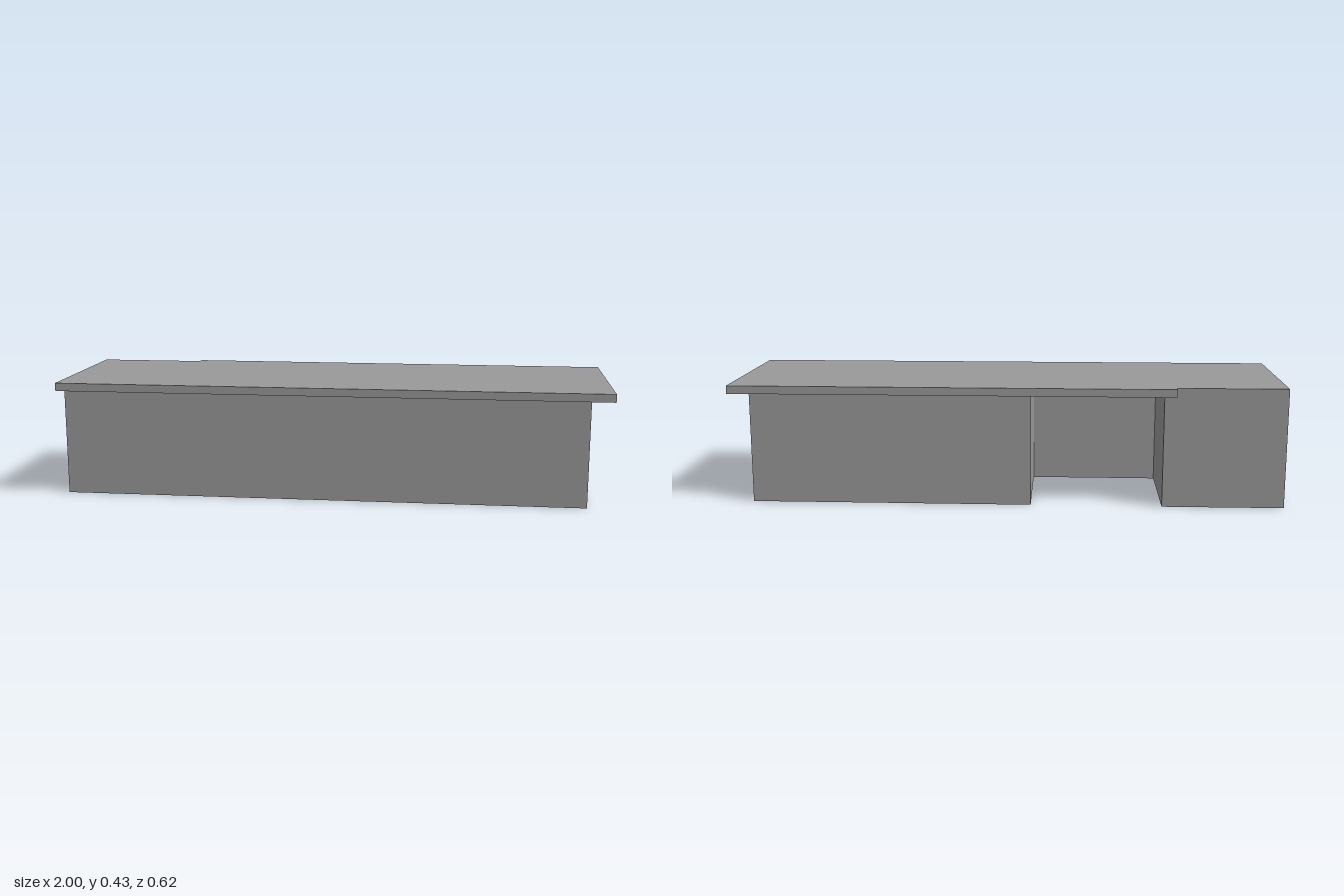
import * as THREE from 'three';

// Extrude a plan outline of [x, z] points upward from y0 to y1
function prism(name, plan, y0, y1, material) {
  const shape = new THREE.Shape(plan.map(([x, z]) => new THREE.Vector2(x, -z)));
  const geometry = new THREE.ExtrudeGeometry(shape, { depth: y1 - y0, bevelEnabled: false });
  geometry.rotateX(-Math.PI / 2);
  const mesh = new THREE.Mesh(geometry, material);
  mesh.name = name;
  mesh.position.y = y0;
  return mesh;
}

export function createModel() {
  const group = new THREE.Group();
  group.name = 'counter';
  const grey = new THREE.MeshStandardMaterial({ color: 0x999999 });
  grey.name = 'grey';

  const undersideY = 0.405, topY = 0.434;

  // Base cabinet with a knee recess open to the back
  group.add(prism('base', [
    [-1, 0.218], [0.927, 0.214], [0.927, -0.279], [-0.09, -0.279],
    [-0.09, 0.12], [-0.563, 0.12], [-0.563, -0.281], [-1, -0.278],
  ], 0, undersideY, grey));

  // Worktop, overhanging except at the flush corner over the end block
  group.add(prism('worktop', [
    [-1, 0.308], [1, 0.303], [1, -0.308], [-0.605, -0.308],
    [-0.605, -0.281], [-1, -0.278],
  ], undersideY, topY, grey));

  return group;
}
